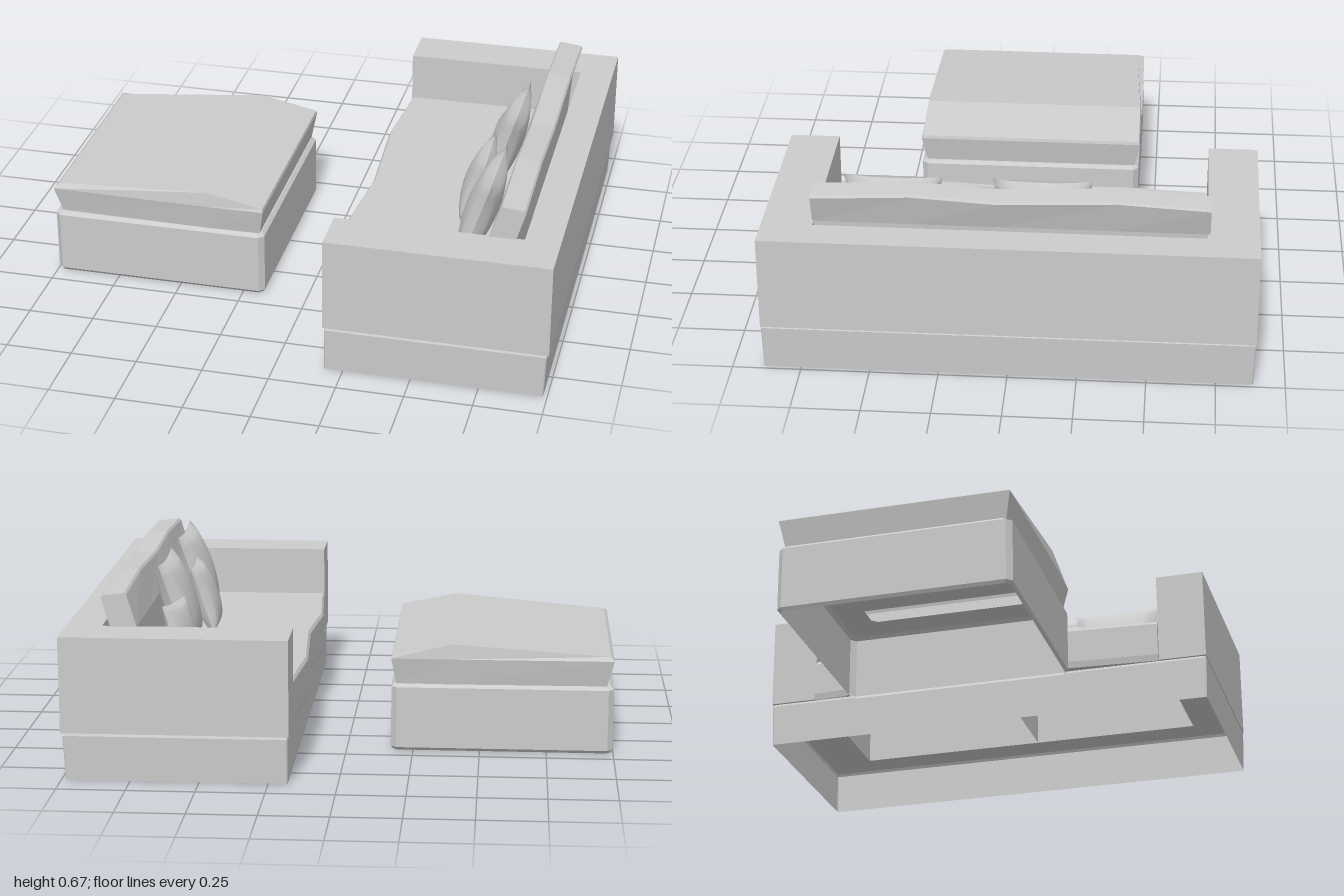
import * as THREE from 'three';
import { mergeGeometries } from 'three/addons/utils/BufferGeometryUtils.js';

const flat = new THREE.MeshStandardMaterial({ color: 0xcccccc, flatShading: true, side: THREE.DoubleSide });
const soft = new THREE.MeshStandardMaterial({ color: 0xcccccc, side: THREE.DoubleSide });

function add(parent, name, geometry, material = flat) {
  const mesh = new THREE.Mesh(geometry, material);
  mesh.name = name;
  parent.add(mesh);
  return mesh;
}

// Skin a stack of equal rings (counter-clockwise from above); the cap bridges both halves of the last ring
function loft(rings, cap = true) {
  const pos = [];
  const quad = (a, b, c, d) => pos.push(...a, ...b, ...c, ...a, ...c, ...d);
  const n = rings[0].length;
  for (let r = 0; r < rings.length - 1; r++) {
    for (let i = 0; i < n; i++) {
      const j = (i + 1) % n;
      quad(rings[r][i], rings[r][j], rings[r + 1][j], rings[r + 1][i]);
    }
  }
  if (cap) {
    const top = rings[rings.length - 1];
    for (let i = 0; i < n / 2 - 1; i++) quad(top[i], top[i + 1], top[n - 2 - i], top[n - 1 - i]);
  }
  const geometry = new THREE.BufferGeometry();
  geometry.setAttribute('position', new THREE.Float32BufferAttribute(pos, 3));
  geometry.computeVertexNormals();
  return geometry;
}

// Rectangle ring with cut corners
function rect(x0, x1, z0, z1, c, y) {
  return [[x0 + c, z1], [x1 - c, z1], [x1, z1 - c], [x1, z0 + c],
    [x1 - c, z0], [x0 + c, z0], [x0, z0 + c], [x0, z1 - c]].map(([x, z]) => [x, y, z]);
}

// Ring running along z at the front and back of a sofa cushion
function cushionRing(zs, front, back) {
  return [...zs.map((z, i) => [...front(i), z]), ...zs.map((z, i) => [...back(i), z]).reverse()];
}

// Pillow: two bulging sheets with pinched corners
function pillowGeometry(size, thick) {
  const face = new THREE.PlaneGeometry(2, 2, 14, 14);
  const p = face.attributes.position;
  for (let i = 0; i < p.count; i++) {
    const u = p.getX(i), v = p.getY(i);
    const a = Math.max(0, 1 - u * u), b = Math.max(0, 1 - v * v);
    p.setXYZ(i, size / 2 * u * (1 - 0.09 * b), size / 2 * v * (1 - 0.09 * a), thick / 2 * Math.pow(a * b, 0.45));
  }
  const geometry = mergeGeometries([face, face.clone().rotateY(Math.PI)]);
  geometry.computeVertexNormals();
  return geometry;
}

function createSofa() {
  const sofa = new THREE.Group();
  sofa.name = 'sofa';

  // Hollow base skirt
  add(sofa, 'sofaBase', loft([
    rect(0.18, 0.985, -0.885, 0.885, 0.004, 0),
    rect(0.18, 0.992, -0.89, 0.89, 0.004, 0.165),
    rect(0.185, 0.985, -0.885, 0.885, 0.004, 0.175),
  ], false));

  // Arms and back in one U-shaped body
  const u = new THREE.Shape([
    [0.175, -0.89], [1, -0.89], [1, 0.89], [0.175, 0.89],
    [0.175, 0.705], [0.87, 0.705], [0.87, -0.705], [0.175, -0.705],
  ].map(([x, y]) => new THREE.Vector2(x, y)));
  const body = new THREE.ExtrudeGeometry(u, { depth: 0.355, bevelEnabled: false });
  add(sofa, 'armsAndBack', body.rotateX(-Math.PI / 2).translate(0, 0.175, 0));

  // Two seat and two back cushions
  for (const [side, z0, zm, z1] of [['right', -0.705, -0.37, 0.04], ['left', 0.04, 0.35, 0.702]]) {
    const zs = [z0, zm, z1];
    const seat = (y, inset) => cushionRing(zs,
      i => [(i === 1 ? 0.15 : 0.175) + inset, y], () => [0.87, y]);
    add(sofa, side + 'SeatCushion', loft([seat(0.175, 0.006), seat(0.2, 0), seat(0.33, 0), seat(0.342, 0.008)]));

    const backZs = zs.map(z => z * 1.012);
    const level = (y, f, b) => cushionRing(backZs, () => [f, y], () => [b, y]);
    const crown = i => (i === 1 ? 0.673 : 0.655);
    add(sofa, side + 'BackCushion', loft([
      level(0.342, 0.735, 0.825),
      level(0.53, 0.742, 0.84),
      cushionRing(backZs, i => [0.778, crown(i) - 0.008], i => [0.872, crown(i) - 0.018]),
      cushionRing(backZs, i => [0.785, crown(i)], i => [0.866, crown(i) - 0.01]),
    ]));
  }

  // Scatter pillows: size, thickness, x, y, z, turn, tilt
  const pillows = [
    [0.36, 0.12, 0.67, 0.495, -0.11, 0, 0.32],
    [0.36, 0.12, 0.67, 0.495, 0.43, 0, 0.32],
    [0.28, 0.1, 0.605, 0.455, 0.155, 0.04, 0.33],
    [0.21, 0.07, 0.635, 0.44, -0.34, -0.28, 0.28],
  ];
  for (const [size, thick, x, y, z, turn, tilt] of pillows) {
    const pillow = add(sofa, 'pillow', pillowGeometry(size, thick), soft);
    pillow.position.set(x, y, z);
    pillow.rotation.set(-tilt, -Math.PI / 2 + turn, 0, 'YXZ');
  }
  return sofa;
}

function createOttoman() {
  const ottoman = new THREE.Group();
  ottoman.name = 'ottoman';

  // Hollow base with a ledge under the cushion
  add(ottoman, 'ottomanBase', loft([
    rect(-0.99, -0.175, -0.425, 0.42, 0.015, 0),
    rect(-0.998, -0.167, -0.435, 0.43, 0.02, 0.012),
    rect(-0.998, -0.167, -0.435, 0.43, 0.02, 0.245),
    rect(-0.985, -0.18, -0.42, 0.415, 0.02, 0.257),
    rect(-0.87, -0.29, -0.31, 0.305, 0.02, 0.257),
  ], false));

  // Cushion with a ridge across the top; each station is x, y, half depth
  const ring = stations => [
    ...stations.map(([x, y, h]) => [x, y, h - 0.004]),
    ...stations.map(([x, y, h]) => [x, y, -h - 0.004]).reverse(),
  ];
  add(ottoman, 'ottomanCushion', loft([
    ring([[-0.972, 0.257, 0.41], [-0.39, 0.257, 0.42], [-0.185, 0.257, 0.415]]),
    ring([[-0.998, 0.357, 0.43], [-0.39, 0.357, 0.437], [-0.167, 0.357, 0.435]]),
    ring([[-0.985, 0.368, 0.4], [-0.39, 0.414, 0.43], [-0.17, 0.369, 0.43]]),
  ]));
  return ottoman;
}

export function createModel() {
  const model = new THREE.Group();
  model.name = 'sofaSet';
  model.add(createSofa(), createOttoman());
  return model;
}
